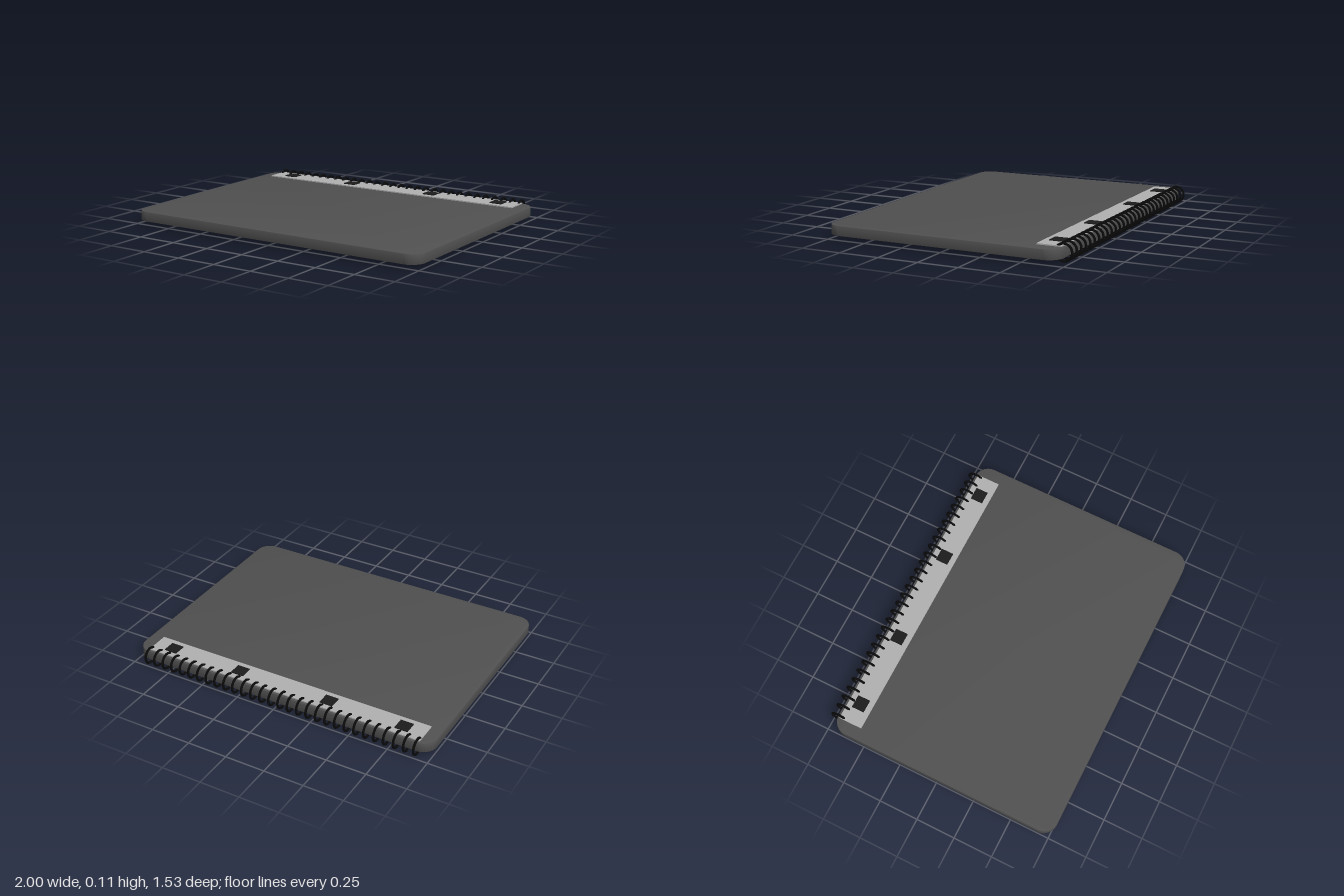
import * as THREE from 'three';
import { toCreasedNormals } from 'three/addons/utils/BufferGeometryUtils.js';

const mat = (color) => new THREE.MeshStandardMaterial({ color });

function roundedRect(w, d, r) {
  const x = w / 2, y = d / 2, s = new THREE.Shape();
  s.absarc(x - r, y - r, r, 0, Math.PI / 2);
  s.absarc(-x + r, y - r, r, Math.PI / 2, Math.PI);
  s.absarc(-x + r, -y + r, r, Math.PI, Math.PI * 1.5);
  s.absarc(x - r, -y + r, r, Math.PI * 1.5, Math.PI * 2);
  return s;
}

export function createModel() {
  const model = new THREE.Group();
  const dark = mat(0x505050), pale = mat(0xb0b0b0), black = mat(0x1c1c1c), wire = mat(0x0a0a0a);

  const add = (name, geometry, material, x, y, z, parent = model) => {
    const mesh = new THREE.Mesh(geometry, material);
    mesh.name = name;
    mesh.position.set(x, y, z);
    parent.add(mesh);
    return mesh;
  };

  // Pad with rounded corners and a fine bevel: y 0.025 to 0.087
  const bevel = 0.005;
  const body = new THREE.ExtrudeGeometry(roundedRect(2 - 2 * bevel, 1.48 - 2 * bevel, 0.085), {
    depth: 0.062 - 2 * bevel, bevelThickness: bevel, bevelSize: bevel, bevelSegments: 2, curveSegments: 10,
  });
  body.rotateX(-Math.PI / 2);
  add('pad', toCreasedNormals(body, 0.6), dark, 0, 0.025 + bevel, 0.025);

  // Pale strip beside the binding, with four dark tabs on it
  add('bindingStrip', new THREE.BoxGeometry(1.84, 0.008, 0.15), pale, -0.005, 0.09, -0.625);
  const tabs = new THREE.Group();
  tabs.name = 'tabs';
  for (const x of [-0.79, -0.305, 0.303, 0.785])
    add('tab', new THREE.BoxGeometry(0.082, 0.006, 0.08), black, x, 0.096, -0.625, tabs);
  model.add(tabs);

  // Pale strip on the underside, running front to back
  add('undersideStrip', new THREE.BoxGeometry(0.27, 0.006, 1.39), pale, 0.735, 0.025, 0.005);

  // Row of wire rings along the back edge
  const rings = new THREE.Group();
  rings.name = 'bindingRings';
  const ring = new THREE.TorusGeometry(0.0495, 0.0075, 8, 28).rotateY(Math.PI / 2);
  const count = 30;
  for (let i = 0; i < count; i++)
    add('ring', ring, wire, -0.915 + (1.82 * i) / (count - 1), 0.057, -0.709, rings);
  model.add(rings);

  return model;
}
